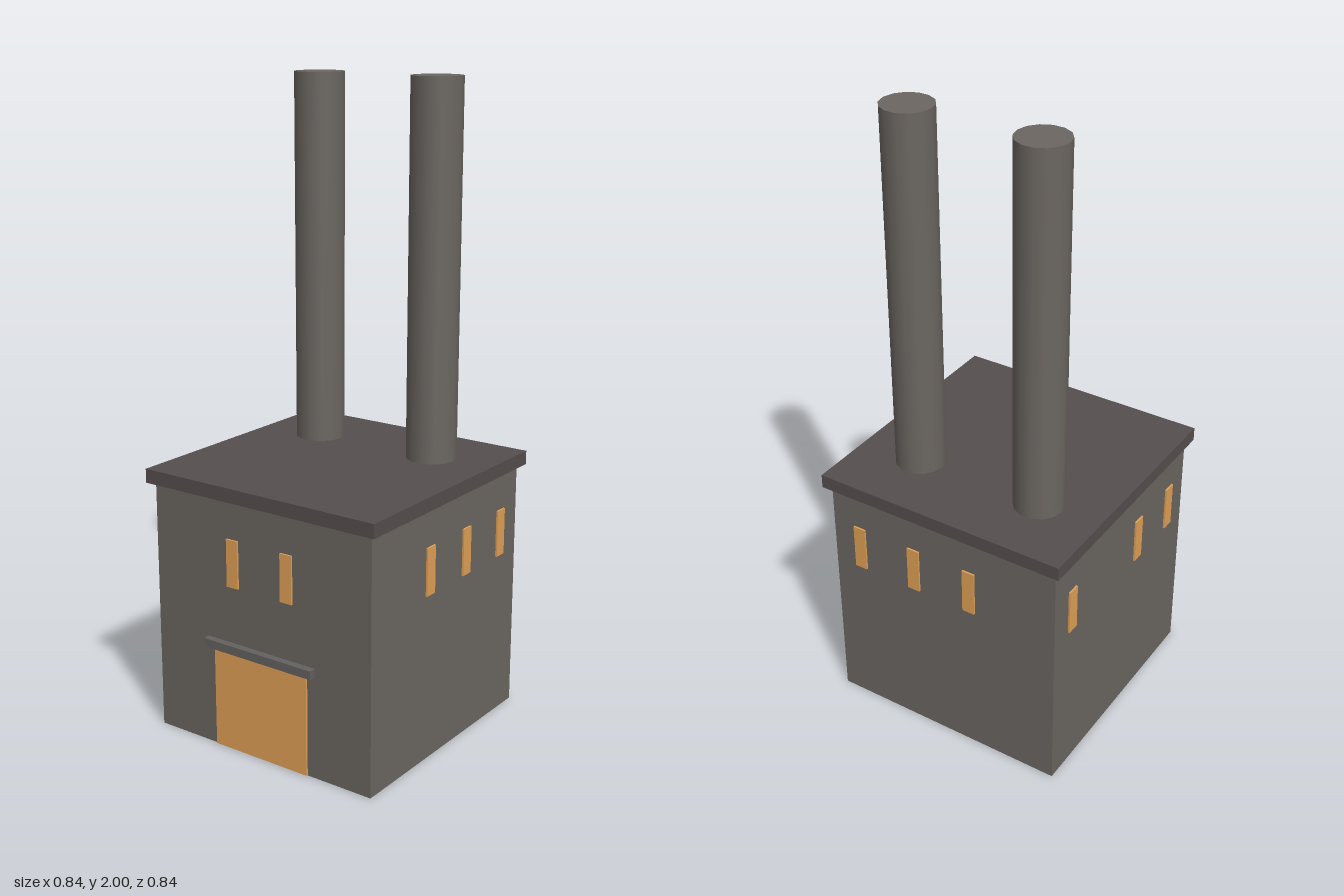
import * as THREE from 'three';

const mat = (color) => new THREE.MeshStandardMaterial({ color });

export function createModel() {
  const model = new THREE.Group();
  const wall = mat(0x6b6661);
  const dark = mat(0x564e4e);
  const trim = mat(0x646260);
  const glow = mat(0xe0a055);

  const add = (name, geometry, material, x, y, z) => {
    const mesh = new THREE.Mesh(geometry, material);
    mesh.name = name;
    mesh.position.set(x, y, z);
    model.add(mesh);
    return mesh;
  };
  const box = (name, w, h, d, material, x, y, z) =>
    add(name, new THREE.BoxGeometry(w, h, d), material, x, y, z);

  // Square building with an overhanging flat roof
  box('building', 0.796, 0.802, 0.796, wall, 0, 0.401, 0);
  box('roof', 0.838, 0.044, 0.838, dark, 0, 0.823, 0);

  // Glowing doorway under a lintel
  box('door', 0.345, 0.32, 0.02, glow, 0, 0.162, 0.395);
  box('lintel', 0.4, 0.027, 0.03, trim, 0, 0.337, 0.406);

  // Narrow lit windows, set slightly proud of each wall
  const windowY = 0.605, face = 0.394;
  for (const x of [-0.1, 0.1]) box('frontWindow', 0.042, 0.15, 0.02, glow, x, windowY, face);
  for (const x of [-0.1, 0.1, 0.3]) box('backWindow', 0.042, 0.15, 0.02, glow, x, windowY, -face);
  for (const z of [-0.3, -0.1, 0.1]) box('leftWindow', 0.02, 0.15, 0.042, glow, face, windowY, z);
  for (const z of [-0.3, 0.1, 0.3]) box('rightWindow', 0.02, 0.15, 0.042, glow, -face, windowY, z);

  // Pair of tall chimneys towards the back of the roof
  for (const side of [-1, 1]) {
    const chimney = add('chimney', new THREE.CylinderGeometry(0.079, 0.079, 1.17, 14), wall,
      side * 0.213, 1.415, -0.188);
    chimney.rotation.y = Math.PI / 2;
  }

  return model;
}
